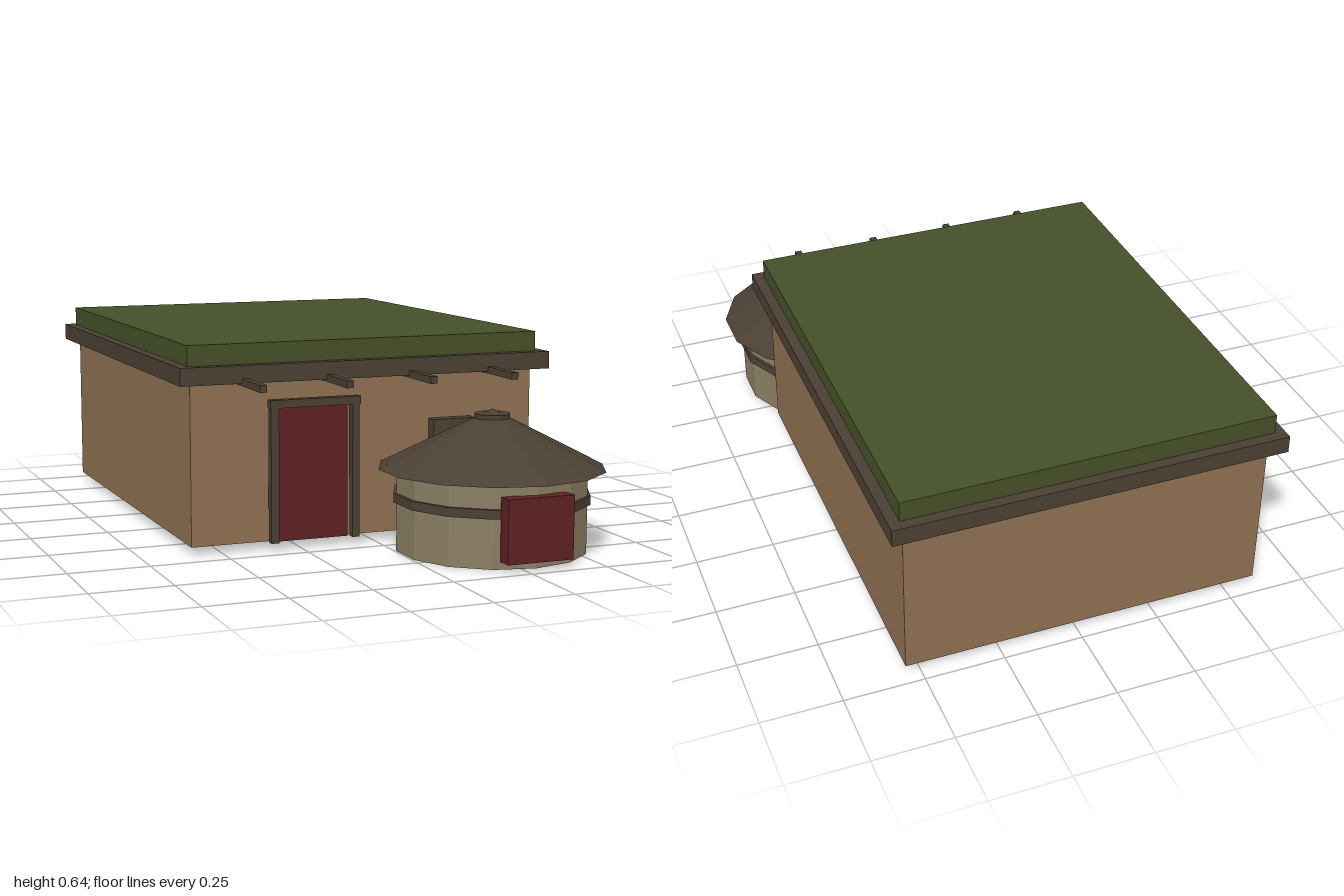
import * as THREE from 'three';

const mat = (name, hex) => {
  const m = new THREE.MeshStandardMaterial({ color: hex, flatShading: true });
  m.name = name;
  return m;
};

export function createModel() {
  const clay = mat('clay wall', 0x8f7151);
  const timber = mat('dark timber', 0x4b4034);
  const turf = mat('green turf', 0x465029);
  const red = mat('red door paint', 0x602123);
  const plaster = mat('pale plaster', 0x8b7f64);

  const model = new THREE.Group();
  model.name = 'farmhouse';

  // Box given by its limits on each axis
  const box = (parent, name, material, [x0, x1], [y0, y1], [z0, z1]) => {
    const mesh = new THREE.Mesh(new THREE.BoxGeometry(x1 - x0, y1 - y0, z1 - z0), material);
    mesh.position.set((x0 + x1) / 2, (y0 + y1) / 2, (z0 + z1) / 2);
    mesh.name = name;
    parent.add(mesh);
  };

  // Main house
  const house = new THREE.Group();
  house.name = 'house';
  model.add(house);
  box(house, 'walls', clay, [-0.597, 0.545], [0.025, 0.53], [-0.955, 0.415]);
  box(house, 'eaves', timber, [-0.64, 0.59], [0.523, 0.578], [-1, 0.46]);
  box(house, 'turfRoof', turf, [-0.608, 0.556], [0.578, 0.641], [-0.967, 0.428]);

  // Projecting roof beams
  for (let i = 0; i < 4; i++) {
    const x = -0.437 + i * 0.2735;
    box(house, 'roofBeam', timber, [x - 0.011, x + 0.011], [0.516, 0.538], [0.4, 0.622]);
  }

  // Door and its frame
  box(house, 'door', red, [-0.323, -0.095], [0.025, 0.438], [0.405, 0.432]);
  box(house, 'leftDoorPost', timber, [-0.087, -0.064], [0.025, 0.443], [0.43, 0.455]);
  box(house, 'rightDoorPost', timber, [-0.354, -0.328], [0.025, 0.443], [0.43, 0.455]);
  box(house, 'doorLintel', timber, [-0.357, -0.061], [0.442, 0.467], [0.43, 0.458]);

  // Shutter behind the hut
  box(house, 'windowShutter', timber, [0.188, 0.332], [0.25, 0.378], [0.41, 0.455]);

  // Round hut
  const hut = new THREE.Group();
  hut.name = 'hut';
  hut.position.set(0.295, 0, 0.645);
  model.add(hut);
  const ring = (name, material, top, bottom, y0, y1) => {
    const mesh = new THREE.Mesh(new THREE.CylinderGeometry(top, bottom, y1 - y0, 14), material);
    mesh.position.y = (y0 + y1) / 2;
    mesh.name = name;
    hut.add(mesh);
  };
  ring('hutWall', plaster, 0.296, 0.296, 0, 0.256);
  ring('hutBand', timber, 0.306, 0.306, 0.152, 0.18);
  ring('hutRoof', timber, 0, 0.352, 0.254, 0.434);
  ring('roofCap', timber, 0.055, 0.055, 0.4, 0.42);
  box(hut, 'hutDoor', red, [-0.11, 0.106], [0.025, 0.218], [0.28, 0.328]);

  return model;
}
